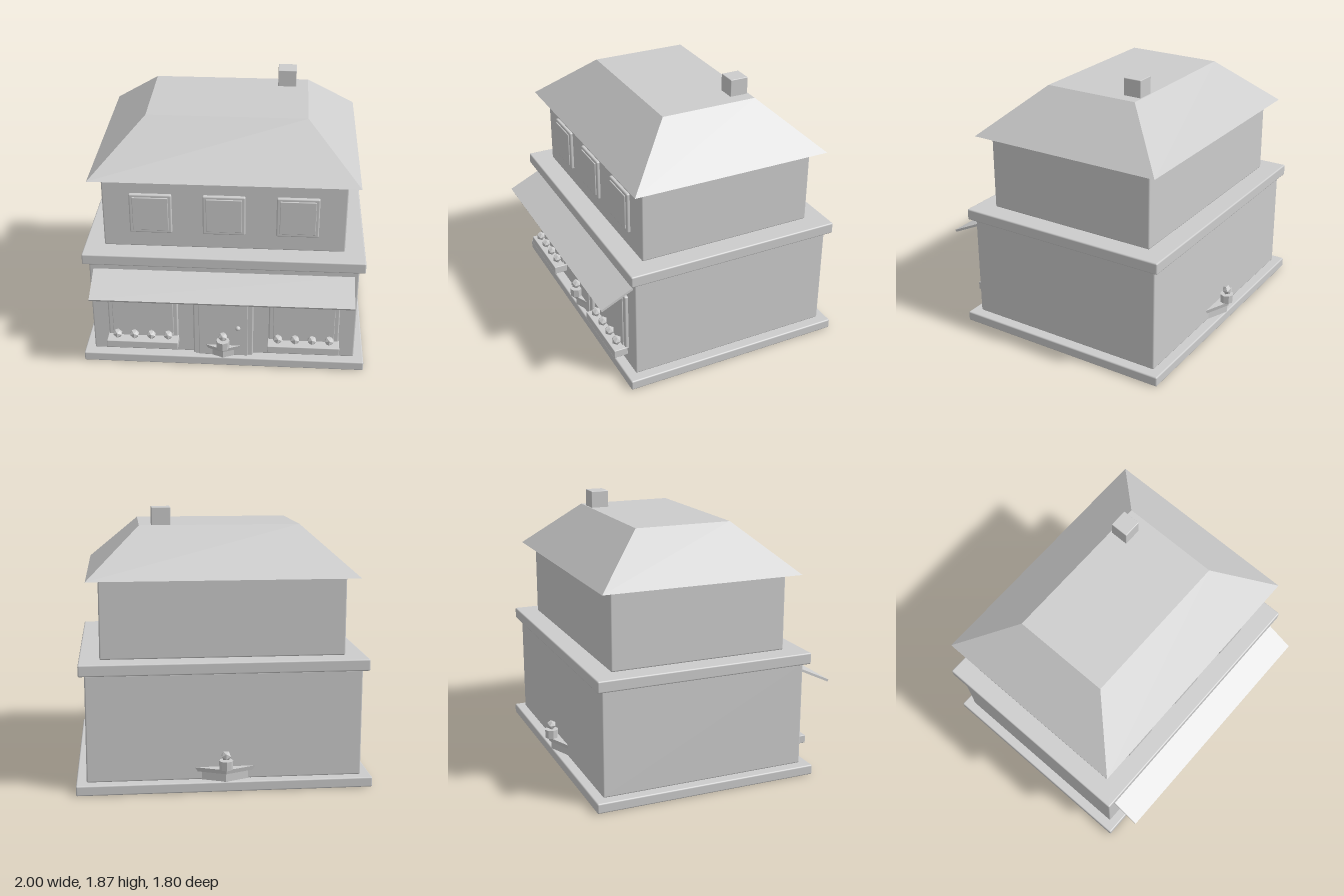
import * as THREE from 'three';
import { RoundedBoxGeometry } from 'three/addons/geometries/RoundedBoxGeometry.js';

const MID_Z = -0.055; // depth centre of the building
const WALL_Z = 0.675; // front of the shop wall
const UPPER_Z = 0.573; // front of the upper wall

export function createModel() {
  const model = new THREE.Group();
  model.name = 'shopHouse';
  const grey = new THREE.MeshStandardMaterial({ color: 0xcccccc });
  grey.name = 'paleGrey';
  const faceted = new THREE.MeshStandardMaterial({ color: 0xcccccc, flatShading: true });
  faceted.name = 'paleGreyFaceted';

  const add = (name, geometry, x, y, z, material = grey) => {
    const mesh = new THREE.Mesh(geometry, material);
    mesh.name = name;
    mesh.position.set(x, y, z);
    model.add(mesh);
    return mesh;
  };

  // Softly bevelled block given by its limits
  const block = (name, x0, x1, y0, y1, z0, z1, bevel = 0.01) =>
    add(name, new RoundedBoxGeometry(x1 - x0, y1 - y0, z1 - z0, 2, bevel),
      (x0 + x1) / 2, (y0 + y1) / 2, (z0 + z1) / 2);

  const flower = (x, z) => add('flower', new THREE.IcosahedronGeometry(0.035, 0), x, 0.25, z, faceted);

  // Stacked storeys
  block('baseSlab', -1, 1, 0, 0.07, -0.85, 0.74);
  block('groundFloor', -0.93, 0.93, 0.07, 0.805, -0.785, WALL_Z);
  block('ledge', -0.97, 0.97, 0.805, 0.885, -0.825, 0.715);
  block('upperFloor', -0.83, 0.83, 0.885, 1.42, -0.683, UPPER_Z);

  // Hipped roof with a flat top: a box whose upper corners move inward
  const roof = new THREE.BoxGeometry(1.82, 0.33, 1.42);
  const p = roof.attributes.position;
  for (let i = 0; i < p.count; i++) {
    if (p.getY(i) > 0) {
      p.setX(i, Math.sign(p.getX(i)) * 0.55);
      p.setZ(i, Math.sign(p.getZ(i)) * 0.343);
    }
  }
  roof.computeVertexNormals();
  add('roof', roof, 0, 1.585, MID_Z);
  block('chimney', 0.335, 0.465, 1.6, 1.87, -0.39, -0.26, 0.005);

  // Upper windows
  for (const x of [-0.5, 0, 0.5]) {
    block('upperWindowFrame', x - 0.145, x + 0.145, 1.005, 1.3, UPPER_Z - 0.02, 0.595);
    block('upperWindowPane', x - 0.122, x + 0.122, 1.03, 1.28, UPPER_Z - 0.02, 0.603, 0.004);
  }

  // Shop windows with flower boxes
  for (const side of [-1, 1]) {
    const x = side * 0.568;
    block('shopWindowFrame', x - 0.247, x + 0.247, 0.2, 0.63, WALL_Z - 0.02, 0.699);
    block('shopWindowPane', x - 0.215, x + 0.215, 0.21, 0.608, WALL_Z - 0.02, 0.707, 0.004);
    block('flowerBox', x - 0.252, x + 0.252, 0.16, 0.218, 0.685, 0.785, 0.005);
    for (let i = 0; i < 4; i++) flower(x + (i - 1.5) * 0.12, 0.738);
  }

  // Door
  block('doorFrame', -0.212, 0.212, 0.07, 0.63, WALL_Z - 0.02, 0.699);
  block('door', -0.173, 0.173, 0.07, 0.583, WALL_Z - 0.02, 0.708, 0.004);
  add('doorKnob', new THREE.SphereGeometry(0.018, 10, 8), 0.105, 0.313, 0.718);

  // Sloping awning
  const awning = add('awning', new THREE.BoxGeometry(1.8, 0.016, 0.25), 0, 0.693, 0.788);
  awning.rotation.x = Math.atan2(0.11, 0.23);

  // Eight-sided steps whose corners emerge through the front and back walls
  add('lowerStep', new THREE.CylinderGeometry(0.795, 0.795, 0.06, 8), 0, 0.098, MID_Z, faceted);
  add('upperStep', new THREE.CylinderGeometry(0.815, 0.807, 0.03, 8), 0, 0.142, MID_Z, faceted);

  // Potted flowers on the step corners
  for (const side of [-1, 1]) {
    const z = MID_Z + side * 0.79;
    add('flowerPot', new THREE.CylinderGeometry(0.048, 0.045, 0.062, 8), 0, 0.188, z, faceted);
    flower(0, z);
  }

  return model;
}
